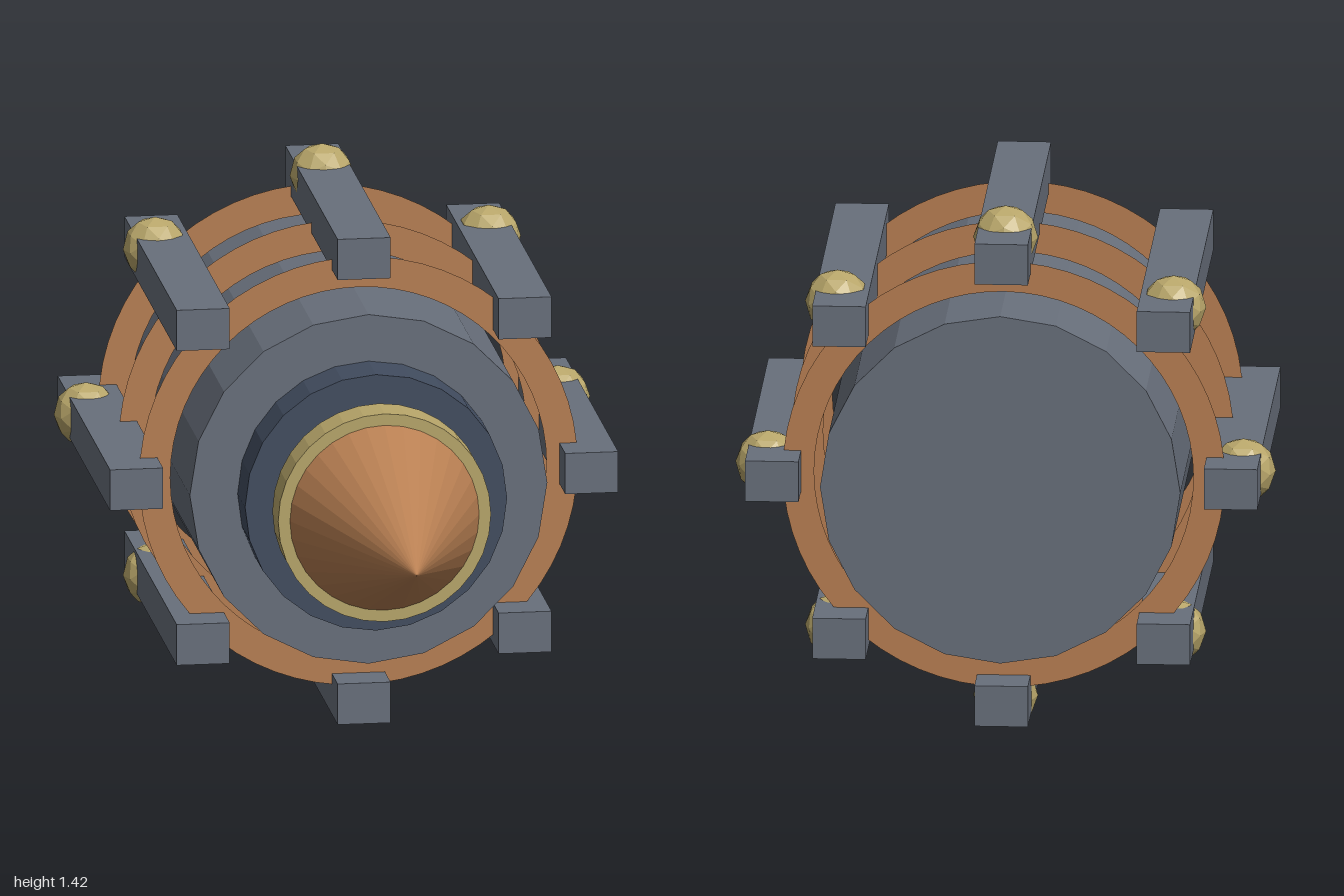
import * as THREE from 'three';

const AXIS_Y = 0.71; // height of the long axis

const mat = (color, extra = {}) => new THREE.MeshStandardMaterial({ color, flatShading: true, ...extra });
const slate = mat(0x686f7b);
const navy = mat(0x414c5f);
const gold = mat(0xb8a66a);
const copper = mat(0xb87f52);
const copperSheet = mat(0xb87f52, { side: THREE.DoubleSide });

export function createModel() {
  const model = new THREE.Group();
  model.name = 'finnedDrum';

  const add = (name, geometry, material, x, y, z) => {
    const mesh = new THREE.Mesh(geometry, material);
    mesh.name = name;
    mesh.position.set(x, AXIS_Y + y, z);
    model.add(mesh);
    return mesh;
  };

  // Round section along z, from the back to the front
  const section = (name, rFront, rBack, z0, z1, sides, material) => {
    const g = new THREE.CylinderGeometry(rFront, rBack, z1 - z0, sides).rotateX(Math.PI / 2);
    return add(name, g, material, 0, 0, (z0 + z1) / 2);
  };

  section('body', 0.472, 0.472, -1, 0.1, 20, slate);
  section('collar', 0.346, 0.346, 0.1, 0.24, 24, navy);
  section('noseBand', 0.281, 0.281, 0.29, 0.398, 32, gold);

  // Pointed nose
  const nose = new THREE.ConeGeometry(0.25, 0.602, 32).rotateX(Math.PI / 2);
  add('noseCone', nose, copper, 0, 0, 0.699);

  // Flat hoops around the body
  const hoop = new THREE.RingGeometry(0.497, 0.579, 64);
  for (const z of [-0.09, -0.47, -0.85]) add('hoop', hoop, copperSheet, 0, 0, z);

  // Eight upright bars around the body, each with a faceted stud near the back
  const bar = new THREE.BoxGeometry(0.14, 0.11, 0.975);
  const stud = new THREE.IcosahedronGeometry(0.085, 1);
  for (let i = 0; i < 8; i++) {
    const a = (i * Math.PI) / 4;
    const c = Math.cos(a), s = Math.sin(a);
    add('bar', bar, slate, 0.601 * c, 0.601 * s, -0.47);
    add('stud', stud, gold, 0.623 * c, 0.623 * s, -0.77);
  }
  return model;
}
